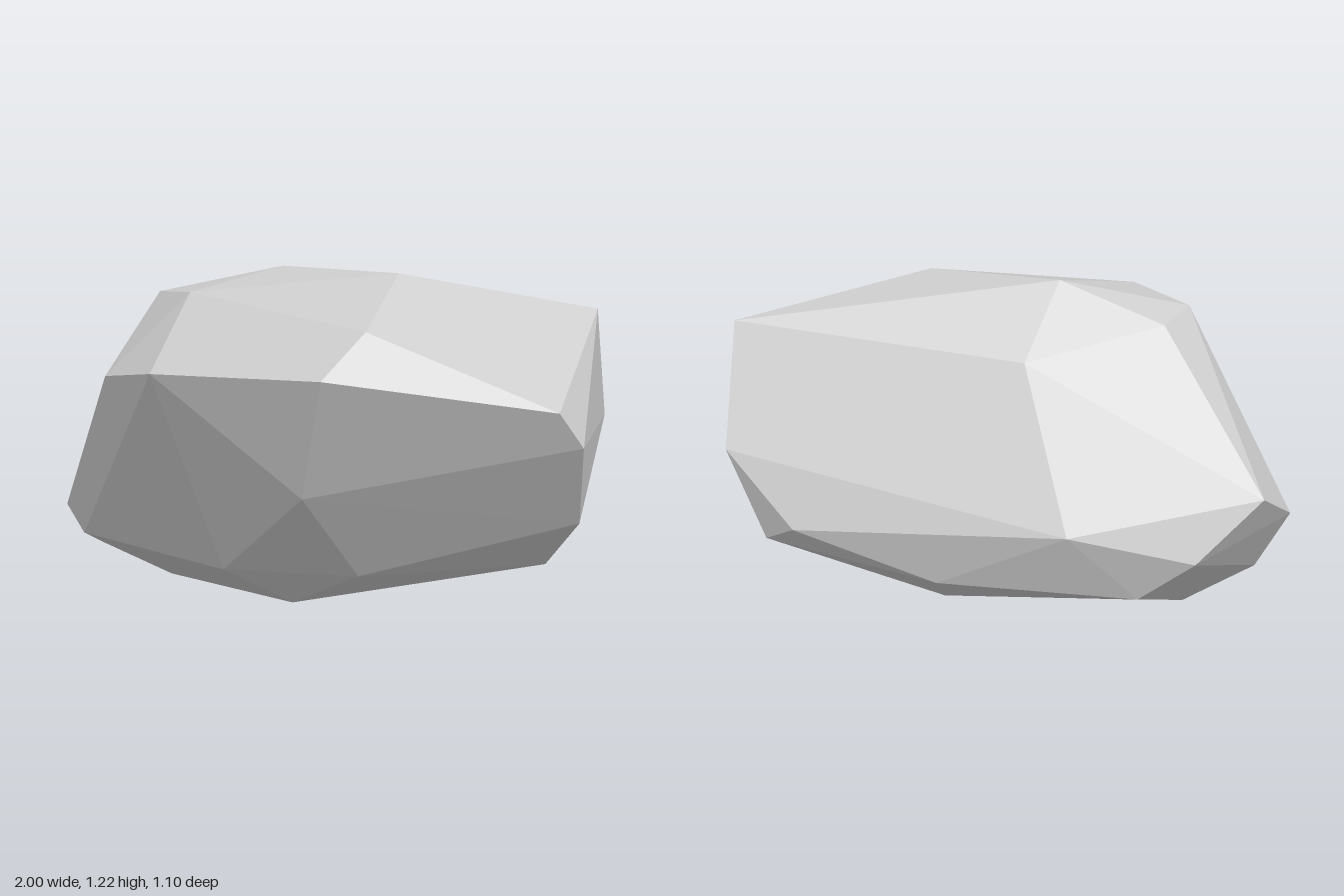
import * as THREE from 'three';
import { ConvexGeometry } from 'three/addons/geometries/ConvexGeometry.js';

const stone = new THREE.MeshStandardMaterial({ color: 0xcbcbcb });
stone.name = 'light stone grey';

// Corners of the faceted boulder, grouped by region
const crown = [
  [-0.62, 1.123, 0.01], [-0.17, 1.22, -0.06], [0.305, 1.21, 0.09], [0.957, 1.08, -0.2],
  [-0.415, 1.14, 0.24], [0.28, 1.033, 0.425], [-0.54, 1.09, -0.14], [-0.07, 0.985, -0.29],
];
const frontRim = [
  [-0.695, 0.845, 0.355], [-0.46, 0.878, 0.52], [0.16, 0.875, 0.55], [0.928, 0.775, 0.36],
  [1.0, 0.652, 0.298], [0.05, 0.45, 0.408],
];
const ends = [
  [-0.975, 0.325, 0.078], [-1.0, 0.415, -0.14], [-0.9, 0.555, -0.388],
  [0.957, 0.676, -0.408], [0.963, 0.368, 0.14], [0.82, 0.363, -0.438],
];
const back = [
  [-0.675, 0.35, -0.495], [-0.24, 0.45, -0.551], [0.71, 0.425, -0.507],
  [0.215, 0.244, -0.495], [-0.48, 0.203, -0.47],
];
const underside = [
  [0.813, 0.18, -0.044], [-0.1, 0, 0.05], [-0.63, 0.044, -0.1], [-0.885, 0.165, -0.035],
  [-0.885, 0.23, 0.13], [-0.31, 0.142, 0.208], [0.19, 0.145, 0.192], [0.22, 0.087, -0.247],
];

export function createModel() {
  const group = new THREE.Group();
  group.name = 'rock';
  // The hull of the corners gives large flat facets with hard edges
  const corners = [crown, frontRim, ends, back, underside].flat()
    .map((p) => new THREE.Vector3(...p));
  const boulder = new THREE.Mesh(new ConvexGeometry(corners), stone);
  boulder.name = 'boulder';
  group.add(boulder);
  return group;
}
